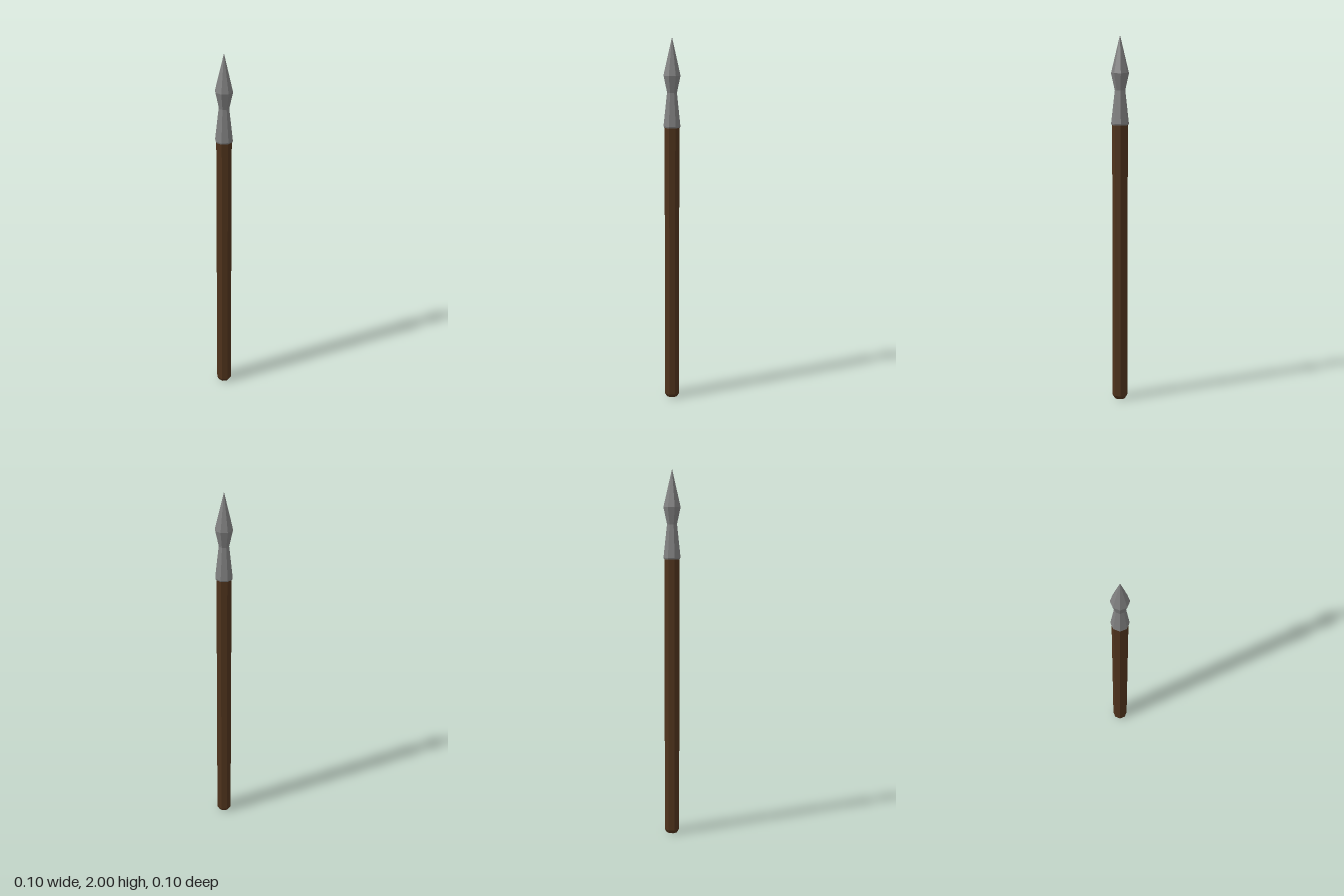
import * as THREE from 'three';

const SIDES = 8;

// Faceted solid of revolution from [radius, height] pairs, bottom to top
function turned(name, profile, color) {
  const points = profile.map(([r, y]) => new THREE.Vector2(r, y));
  const material = new THREE.MeshStandardMaterial({ color, flatShading: true });
  const mesh = new THREE.Mesh(new THREE.LatheGeometry(points, SIDES), material);
  mesh.name = name;
  return mesh;
}

export function createModel() {
  const group = new THREE.Group();
  group.name = 'spear';

  // Wooden pole with a chamfered butt, its top tucked into the socket
  group.add(turned('shaft', [
    [0, 0], [0.03, 0], [0.042, 0.02], [0.042, 1.54], [0, 1.54],
  ], 0x4f331c));

  // Metal head: socket rim, narrow neck, widest point, tip
  group.add(turned('spearhead', [
    [0, 1.525], [0.045, 1.525], [0.048, 1.533], [0.028, 1.71], [0.048, 1.8], [0, 2],
  ], 0x808080));

  return group;
}
